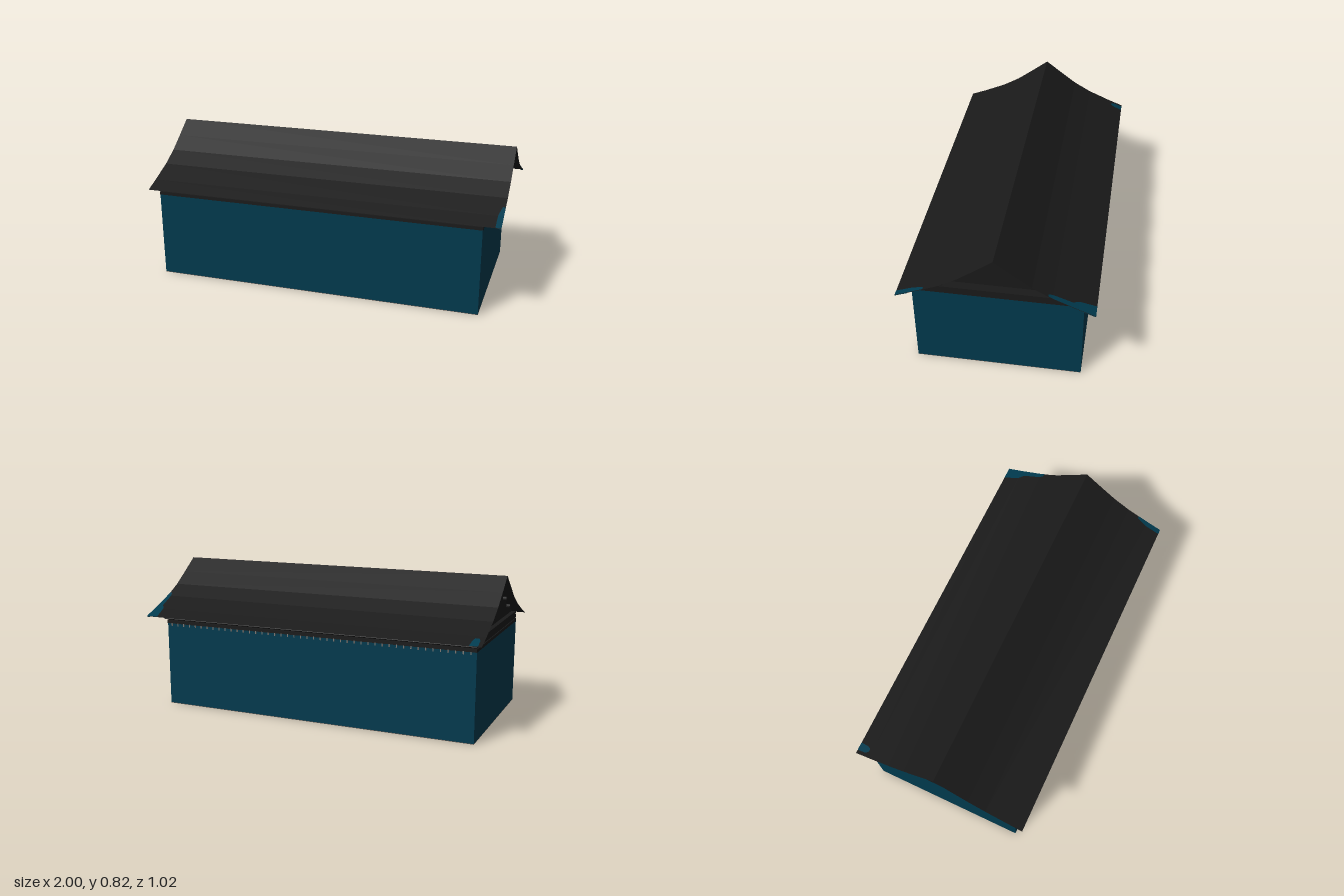
import * as THREE from 'three';

const mat = (name, color, side = THREE.FrontSide) => {
  const m = new THREE.MeshStandardMaterial({ color, side });
  m.name = name;
  return m;
};

// Open sheet lofted through rows of [z, y, xLeft, xRight]
function sheet(rows) {
  const pos = [];
  for (let i = 0; i < rows.length - 1; i++) {
    const [z0, y0, a0, b0] = rows[i], [z1, y1, a1, b1] = rows[i + 1];
    const quad = [[a0, y0, z0], [a1, y1, z1], [b1, y1, z1], [b0, y0, z0]];
    const order = z1 > z0 ? [0, 1, 2, 0, 2, 3] : [2, 1, 0, 3, 2, 0];
    order.forEach((k) => pos.push(...quad[k]));
  }
  const g = new THREE.BufferGeometry();
  g.setAttribute('position', new THREE.Float32BufferAttribute(pos, 3));
  g.computeVertexNormals();
  return g;
}

// Prism with a mirrored [z, y] outline, running along x
function prism(half, x0, x1) {
  const outline = [...half, ...half.slice().reverse().map(([z, y]) => [-z, y])];
  const shape = new THREE.Shape(outline.map(([z, y]) => new THREE.Vector2(-z, y)));
  const g = new THREE.ExtrudeGeometry(shape, { depth: x1 - x0, bevelEnabled: false });
  return g.rotateY(Math.PI / 2).translate(x0, 0, 0);
}

export function createModel() {
  const model = new THREE.Group();
  const blue = mat('wall blue', 0x003a4e, THREE.DoubleSide);
  const dark = mat('roof charcoal', 0x1a1a1a, THREE.DoubleSide);
  const brown = mat('floor brown', 0x63564f);
  const grey = mat('hanger grey', 0x7d7873);

  const add = (name, geometry, material, parent = model) => {
    const m = new THREE.Mesh(geometry, material);
    m.name = name;
    parent.add(m);
  };
  const group = (name) => {
    const g = new THREE.Group();
    g.name = name;
    model.add(g);
    return g;
  };
  const box = (name, x0, x1, y0, y1, z0, z1, material, parent) =>
    add(name, new THREE.BoxGeometry(x1 - x0, y1 - y0, z1 - z0)
      .translate((x0 + x1) / 2, (y0 + y1) / 2, (z0 + z1) / 2), material, parent);

  // Walls and floor
  box('walls', -0.96, 0.9, 0.003, 0.49, -0.443, 0.45, blue);
  box('floor', -0.96, 0.9, 0, 0.003, -0.443, 0.45, brown);

  // Curved roof slopes
  const curve = [[0, 0.821], [0.1, 0.745], [0.19, 0.679], [0.29, 0.622], [0.42, 0.566], [0.508, 0.532]];
  const roof = group('roof');
  for (const s of [1, -1])
    add('roofSlope', sheet(curve.map(([z, y]) => [s * z, y, -1, 1])), dark, roof);

  // Gable body filling the space under the roof
  add('gable', prism([[0.42, 0.54], [0.42, 0.552], [0.28, 0.617], [0.185, 0.673],
    [0.095, 0.742], [0.002, 0.814]], -0.94, 0.88), dark);

  // Stepped moulding around the wall top
  box('wallPlate', -0.961, 0.902, 0.488, 0.505, -0.446, 0.451, dark);
  box('recess', -0.93, 0.9, 0.505, 0.517, -0.437, 0.437, dark);
  add('cornice', prism([[0.44, 0.509], [0.453, 0.516], [0.42, 0.552]], -0.96, 0.92), dark);
  box('gableLedge', -0.965, 0.925, 0.535, 0.553, -0.415, 0.415, dark);

  // Small hangers along the back wall top
  const hangers = group('hangers');
  for (let i = 0; i < 46; i++) {
    const x = -0.93 + i * 0.04;
    box('hanger', x - 0.003, x + 0.003, 0.474, 0.49, -0.447, -0.443, grey, hangers);
  }

  // Purlin ends beneath both roof overhangs
  const purlins = group('purlins');
  for (const [z, y] of [[0.277, 0.605], [0.184, 0.663], [0.093, 0.73]])
    for (const s of [1, -1])
      add('purlin', new THREE.CylinderGeometry(0.012, 0.012, 1.92, 8)
        .rotateZ(Math.PI / 2).translate(0, y, s * z), dark, purlins);

  // Blue patches at the roof corners
  const patches = group('cornerPatches');
  const lift = 0.003;
  const roofY = (z) => {
    const i = curve.findIndex(([cz]) => cz >= Math.abs(z));
    const [z0, y0] = curve[i - 1], [z1, y1] = curve[i];
    return y0 + (y1 - y0) * (Math.abs(z) - z0) / (z1 - z0);
  };
  const patch = (name, offset, rows) =>
    add(name, sheet(rows.map(([z, a, b]) => [z, roofY(z) + offset, a, b])), blue, patches);
  patch('backLeftPatch', lift, [[-0.27, 0.985, 1], [-0.29, 0.975, 1], [-0.39, 0.968, 1],
    [-0.42, 0.945, 1], [-0.508, 0.93, 1]]);
  patch('frontLeftPatch', lift, [[0.36, 0.985, 1], [0.42, 0.97, 1], [0.508, 0.97, 1]]);
  patch('backRightPatch', lift, [[-0.44, -0.97, -0.95], [-0.46, -0.98, -0.94], [-0.508, -0.98, -0.935]]);
  for (const s of [1, -1])
    patch('edgePatch', -lift, [[s * 0.44, 0.99, 1], [s * 0.508, 0.98, 1]]);

  return model;
}
